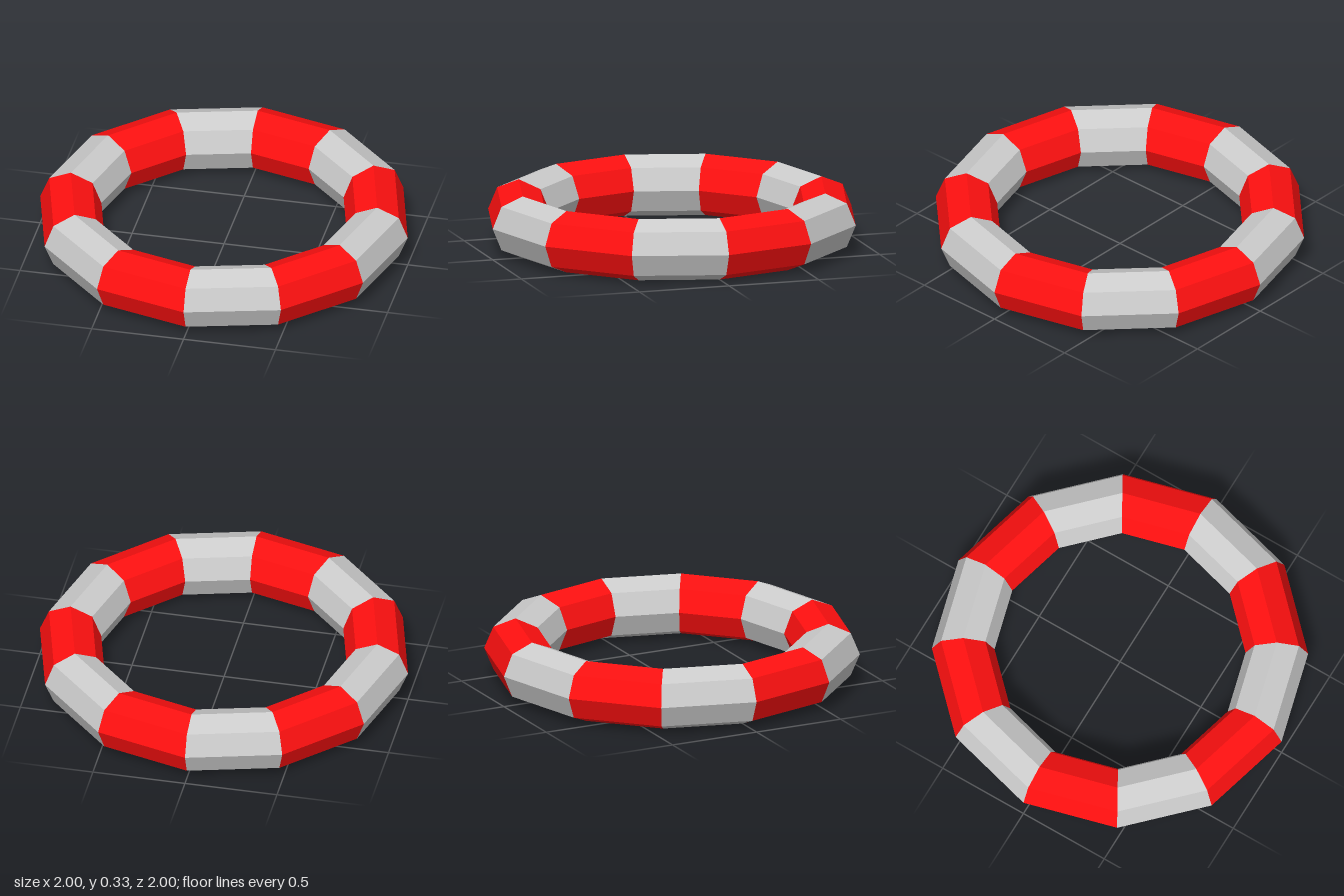
import * as THREE from 'three';

const SEGMENTS = 12;      // straight sections round the ring
const TUBE_SIDES = 8;
const TUBE_RADIUS = 1 / 6;
const RING_RADIUS = 1 - TUBE_RADIUS;

export function createModel() {
  const ring = new THREE.Group();
  ring.name = 'lifebuoy';

  const red = new THREE.MeshStandardMaterial({ color: 0xff1010, flatShading: true });
  const grey = new THREE.MeshStandardMaterial({ color: 0xcccccc, flatShading: true });

  // One straight section of the ring, laid flat on the ground
  const step = (Math.PI * 2) / SEGMENTS;
  const section = new THREE.TorusGeometry(RING_RADIUS, TUBE_RADIUS, TUBE_SIDES, 1, step);
  section.rotateX(-Math.PI / 2);
  section.translate(0, TUBE_RADIUS, 0);

  // Alternating red and grey sections
  for (let i = 0; i < SEGMENTS; i++) {
    const isRed = i % 2 === 0;
    const mesh = new THREE.Mesh(section, isRed ? red : grey);
    mesh.name = isRed ? 'redSection' : 'greySection';
    mesh.rotation.y = i * step;
    ring.add(mesh);
  }
  return ring;
}
